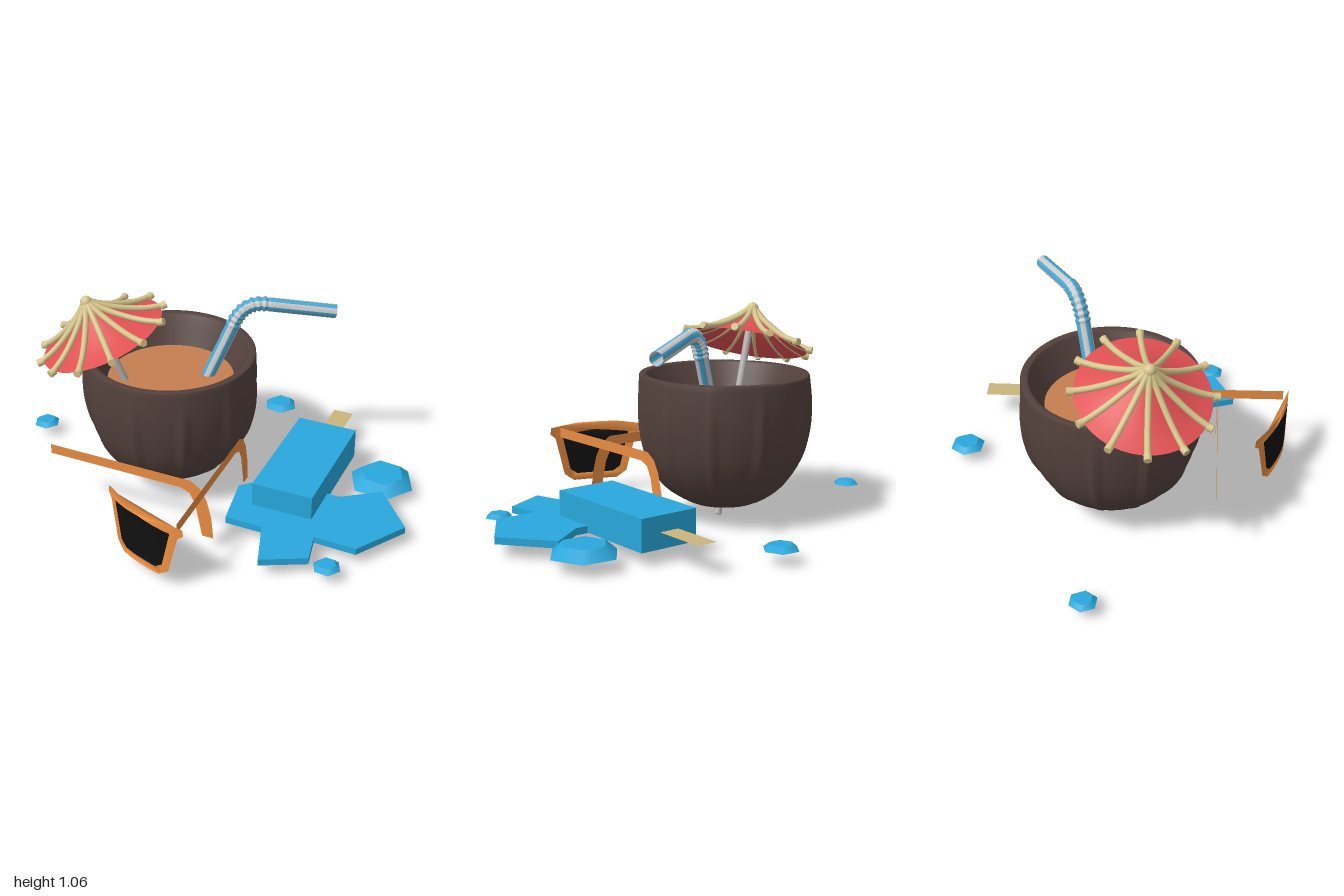
import * as THREE from 'three';
import { mergeVertices } from 'three/addons/utils/BufferGeometryUtils.js';

const V2 = (x, y) => new THREE.Vector2(x, y);
const V3 = (x, y, z) => new THREE.Vector3(x, y, z);
const mat = (color, double = false) =>
  new THREE.MeshStandardMaterial({ color, side: double ? THREE.DoubleSide : THREE.FrontSide });
const SHELL = 0x53413c, ICE = 0x28a8dc, WOOD = 0xd8c68c, ORANGE = 0xe88c40;

function add(parent, name, geometry, material, x = 0, y = 0, z = 0) {
  const mesh = new THREE.Mesh(geometry, material);
  mesh.name = name;
  mesh.position.set(x, y, z);
  parent.add(mesh);
  return mesh;
}

// Half coconut: lathe with narrow vertical ridges on the outside
function coconut(root) {
  const cup = new THREE.Group();
  cup.name = 'coconutCup';
  cup.position.set(-0.235, 0, -0.177);
  const outer = new THREE.SplineCurve([[0, 0.08], [0.1, 0.085], [0.2, 0.115], [0.31, 0.195], [0.385, 0.32],
    [0.42, 0.45], [0.433, 0.56], [0.435, 0.65], [0.43, 0.755]].map(p => V2(...p))).getPoints(24);
  outer[0].x = 0;
  const inner = [[0.425, 0.762], [0.398, 0.762], [0.39, 0.755], [0.36, 0.69], [0.31, 0.59]].map(p => V2(...p));
  let geo = new THREE.LatheGeometry([...outer, ...inner], 132);
  const p = geo.attributes.position;
  for (let i = 0; i < p.count; i++) {
    const x = p.getX(i), y = p.getY(i), z = p.getZ(i);
    if (i % (outer.length + inner.length) >= outer.length) continue;
    const a = (Math.atan2(x, z) - 0.17) * 11 / (Math.PI * 2);
    const d = Math.abs(a - Math.round(a) ) * 2;
    const env = Math.sin(Math.PI * THREE.MathUtils.clamp((y - 0.08) / 0.68, 0, 1));
    const k = 1 + env * 0.055 * Math.max(0, 1 - d * 4);
    p.setXYZ(i, x * k, y, z * k);
  }
  geo.deleteAttribute('uv');
  geo.deleteAttribute('normal');
  geo = mergeVertices(geo);
  geo.computeVertexNormals();
  add(cup, 'shell', geo, mat(SHELL, true));
  add(cup, 'drink', new THREE.CircleGeometry(0.325, 48).rotateX(-Math.PI / 2), mat(0xc67e50), 0, 0.61, 0);
  root.add(cup);
}

// Paper umbrella, tilted to one side
function umbrella(root) {
  const g = new THREE.Group();
  g.name = 'umbrella';
  g.position.set(-0.567, 0.865, -0.145);
  g.rotation.z = 0.375;
  const curve = new THREE.SplineCurve([V2(0.335, 0), V2(0.26, 0.022), V2(0.18, 0.06), V2(0.08, 0.125), V2(0.005, 0.195)]);
  const pts = curve.getPoints(12);
  const canopy = new THREE.LatheGeometry(pts, 48);
  canopy.scale(0.95, 1, 0.95);
  add(g, 'canopy', canopy, mat(0xe05052, true));
  const rib = new THREE.CatmullRomCurve3(pts.map(p => V3(p.x * 1.01, p.y + 0.006, 0)));
  const ribGeo = new THREE.TubeGeometry(rib, 14, 0.015, 8);
  for (let i = 0; i < 12; i++) {
    const spoke = new THREE.Group();
    spoke.name = 'rib';
    spoke.rotation.y = (13 + i * 30) * Math.PI / 180;
    add(spoke, 'ribRod', ribGeo, mat(WOOD));
    add(spoke, 'ribTip', new THREE.CylinderGeometry(0.019, 0.019, 0.03, 10).rotateZ(Math.PI / 2), mat(WOOD), 0.335, 0.006, 0);
    g.add(spoke);
  }
  add(g, 'knob', new THREE.SphereGeometry(0.03, 16, 12), mat(WOOD), 0, 0.195, 0);
  add(g, 'stick', new THREE.CylinderGeometry(0.019, 0.019, 1.1, 16), mat(0xb4b0ae), 0, -0.36, 0);
  root.add(g);
}

// Bendy straw: one tube split into lengthwise stripes, corrugated at the bend
function straw(root) {
  const g = new THREE.Group();
  g.name = 'straw';
  const a = V3(-0.05, 0.59, -0.2), b = V3(0.08, 0.89, -0.205), c = V3(0.23, 1.0, -0.215), d = V3(0.59, 0.945, -0.24);
  const path = new THREE.CurvePath();
  path.add(new THREE.LineCurve3(a, b));
  path.add(new THREE.QuadraticBezierCurve3(b, V3(0.125, 1.01, -0.21), c));
  path.add(new THREE.LineCurve3(c, d));
  const N = 140, R = 16;
  const geo = new THREE.TubeGeometry(path, N, 0.035, R);
  const p = geo.attributes.position, v = V3(), m = V3();
  for (let i = 0; i < p.count; i++) {
    const u = Math.floor(i / (R + 1)) / N;
    if (u < 0.36 || u > 0.62) continue;
    path.getPointAt(u, m);
    v.fromBufferAttribute(p, i).sub(m).multiplyScalar(1.02 + 0.13 * Math.sin((u - 0.36) / 0.26 * Math.PI * 16)).add(m);
    p.setXYZ(i, v.x, v.y, v.z);
  }
  geo.computeVertexNormals();
  const index = Array.from(geo.index.array);
  [['whiteStripes', 0xc4c4c4], ['blueStripes', 0x4aaad6]].forEach(([name, color], s) => {
    const stripe = geo.clone();
    stripe.setIndex(index.filter((_, k) => (Math.floor(Math.floor(k / 6) % R / 2) % 2) === s));
    add(g, name, stripe, mat(color, true));
  });
  root.add(g);
}

// Sunglasses: thin front with one lens and two hooked temples
function sunglasses(root) {
  const g = new THREE.Group();
  g.name = 'sunglasses';
  const rim = [[-0.25, 0.39], [-0.12, 0.405], [0.1, 0.405], [0.25, 0.39], [0.255, 0.355], [0.225, 0.33],
    [0.175, 0.125], [0.12, 0.085], [-0.12, 0.085], [-0.175, 0.125], [-0.225, 0.33], [-0.255, 0.355]];
  const glass = [[-0.185, 0.345], [0, 0.362], [0.185, 0.345], [0.14, 0.15], [0.1, 0.122], [-0.1, 0.122], [-0.14, 0.15]];
  // Subdivide an outline so it can follow the bow of the frame
  const dense = pts => pts.flatMap((p, i) => {
    const q = pts[(i + 1) % pts.length];
    return [0, 0.25, 0.5, 0.75].map(t => V2(p[0] + (q[0] - p[0]) * t, p[1] + (q[1] - p[1]) * t));
  });
  const bow = geo => {
    const p = geo.attributes.position;
    for (let i = 0; i < p.count; i++) p.setZ(i, 0.045 - 0.7 * p.getX(i) ** 2);
    geo.computeVertexNormals();
    return geo;
  };
  const frame = new THREE.Shape(dense(rim));
  frame.holes.push(new THREE.Path(dense(glass)));
  const front = new THREE.Group();
  front.name = 'front';
  front.position.set(-0.335, 0, 0.645);
  front.rotation.y = -Math.PI / 4;
  add(front, 'frame', bow(new THREE.ShapeGeometry(frame)), mat(ORANGE, true));
  add(front, 'lens', bow(new THREE.ShapeGeometry(new THREE.Shape(dense(glass)))), mat(0x101010, true));
  g.add(front);
  const arm = new THREE.Shape([[0, 0.34], [0.71, 0.34], [0.76, 0.32], [0.79, 0.26], [0.825, 0.085], [0.885, 0.085],
    [0.875, 0.2], [0.85, 0.3], [0.815, 0.36], [0.765, 0.392], [0, 0.392]].map(p => V2(...p)));
  [['rightTemple', -0.825, 0.12, 0.01, 0.5], ['leftTemple', -0.185, 0.78, 0.16, -0.04]].forEach(([name, x, z, x2, z2]) => {
    add(g, name, new THREE.ShapeGeometry(arm), mat(ORANGE, true), x, 0, z).rotation.y = -Math.atan2(z2 - z, x2 - x);
  });
  root.add(g);
}

// Melting ice pop with its puddle and drops
function icePop(root) {
  const pop = new THREE.Group();
  pop.name = 'icePop';
  pop.position.set(0.45, 0, 0.003);
  pop.rotation.y = -0.415;
  add(pop, 'iceBlock', new THREE.BoxGeometry(0.315, 0.16, 0.665), mat(ICE), 0, 0.16, 0);
  add(pop, 'popStick', new THREE.PlaneGeometry(0.105, 0.4).rotateX(-Math.PI / 2), mat(0xc9b57c, true), 0, 0.16, -0.405);
  root.add(pop);

  const outline = [[0.04, 0.35], [0.215, 0.43], [0.19, 0.685], [0.43, 0.675], [0.465, 0.51], [0.66, 0.605],
    [0.915, 0.435], [0.835, 0.136], [0.615, 0.18], [0.4, 0.08], [0.27, 0.02], [0.11, 0.08]];
  const puddle = new THREE.ExtrudeGeometry(new THREE.Shape(outline.map(([x, z]) => V2(x, -z))),
    { depth: 0.035, bevelEnabled: false });
  add(root, 'puddle', puddle.rotateX(-Math.PI / 2), mat(ICE), 0, 0.078, 0);

  [[0.85, -0.01, 0.17, 0.052], [0.36, -0.76, 0.09, 0.026], [-0.94, -0.58, 0.07, 0.022], [0.515, 0.695, 0.07, 0.022]]
    .forEach(([x, z, r, h]) =>
      add(root, 'drop', new THREE.CylinderGeometry(r * 0.66, r, h, 6), mat(ICE), x, 0.077 + h / 2, z));
}

export function createModel() {
  const root = new THREE.Group();
  root.name = 'beachDrink';
  [coconut, umbrella, straw, sunglasses, icePop].forEach(build => build(root));
  return root;
}
